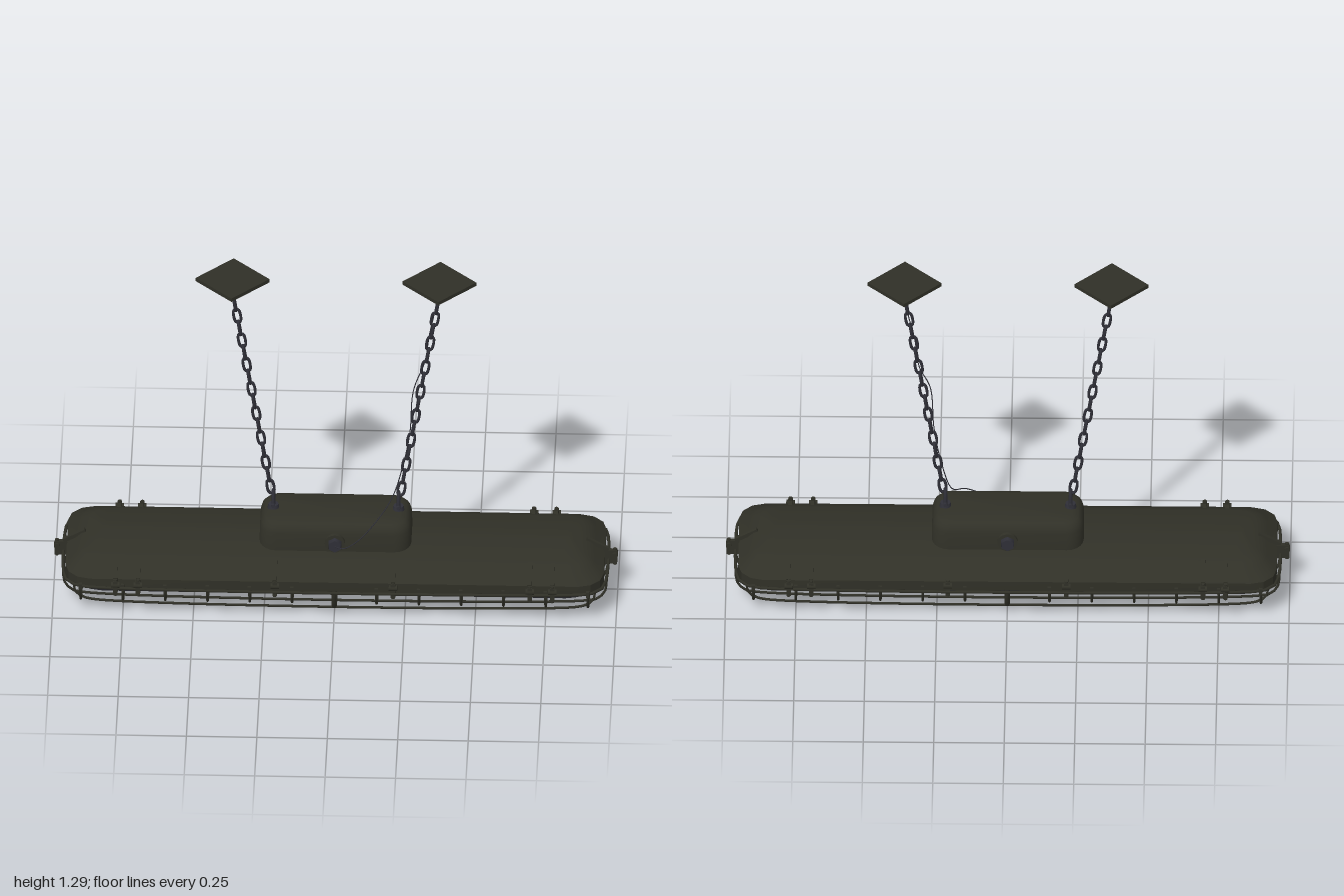
import * as THREE from 'three';
import { toCreasedNormals } from 'three/addons/utils/BufferGeometryUtils.js';

const V = (x, y, z) => new THREE.Vector3(x, y, z);

// Rounded-rectangle loop of [x, z] points
function loop(hx, hz, r, seg) {
  const pts = [];
  const corners = [[1, 1], [-1, 1], [-1, -1], [1, -1]];
  corners.forEach(([sx, sz], k) => {
    for (let i = 0; i <= seg; i++) {
      const a = (k + i / seg) * Math.PI / 2;
      pts.push([sx * (hx - r) + r * Math.cos(a), sz * (hz - r) + r * Math.sin(a)]);
    }
  });
  return pts;
}

// Closed skin through stacked rounded rectangles, rows = [y, halfX, halfZ, radius], bottom to top
function loft(rows, seg, crease) {
  const pos = [], idx = [];
  const n = 4 * (seg + 1);
  rows.forEach(([y, hx, hz, r]) => loop(hx, hz, r, seg).forEach(([x, z]) => pos.push(x, y, z)));
  for (let j = 0; j < rows.length - 1; j++) {
    for (let i = 0; i < n; i++) {
      const a = j * n + i, b = j * n + (i + 1) % n;
      idx.push(a, a + n, b, b, a + n, b + n);
    }
  }
  const last = rows.length - 1, c = rows.length * n;
  pos.push(0, rows[0][0], 0, 0, rows[last][0], 0);
  for (let i = 0; i < n; i++) {
    const k = (i + 1) % n;
    idx.push(c, i, k, c + 1, last * n + k, last * n + i);
  }
  const g = new THREE.BufferGeometry();
  g.setAttribute('position', new THREE.Float32BufferAttribute(pos, 3));
  g.setIndex(idx);
  return toCreasedNormals(g, crease);
}

function tube(pts, r, seg, closed = false, radial = 6) {
  const curve = new THREE.CatmullRomCurve3(pts, closed, 'centripetal');
  return new THREE.TubeGeometry(curve, seg, r, radial, closed);
}

export function createModel() {
  const olive = new THREE.MeshStandardMaterial({ color: 0x303027 });
  olive.name = 'olive painted metal';
  const glass = new THREE.MeshStandardMaterial({ color: 0x3a3a41 });
  glass.name = 'smoked glass';
  const steel = new THREE.MeshStandardMaterial({ color: 0x2f2f37 });
  steel.name = 'dark steel';

  const model = new THREE.Group();
  model.name = 'hangingLamp';
  const add = (name, geo, mat, parent = model, x = 0, y = 0, z = 0) => {
    const m = new THREE.Mesh(geo, mat);
    m.name = name;
    m.position.set(x, y, z);
    parent.add(m);
    return m;
  };

  // Long housing: rim band, sloping shoulder, gently ridged roof
  add('housing', loft([
    [0.118, 0.945, 0.225, 0.09], [0.122, 0.955, 0.235, 0.09], [0.16, 0.955, 0.235, 0.09],
    [0.168, 0.945, 0.226, 0.09], [0.188, 0.92, 0.188, 0.08], [0.204, 0.902, 0.168, 0.07],
    [0.214, 0.875, 0.14, 0.06], [0.228, 0.83, 0.02, 0.015],
  ], 3, 0.5), olive);

  // Glass bowl under the housing
  add('glassBowl', loft([
    [0.038, 0.8, 0.03, 0.02], [0.046, 0.86, 0.11, 0.06], [0.062, 0.9, 0.16, 0.08],
    [0.09, 0.92, 0.2, 0.09], [0.125, 0.925, 0.215, 0.09],
  ], 4, 0.8), glass);

  // Raised junction box on the roof
  add('junctionBox', loft([
    [0.205, 0.27, 0.118, 0.06], [0.285, 0.268, 0.116, 0.06], [0.305, 0.262, 0.11, 0.058],
    [0.319, 0.25, 0.098, 0.05], [0.325, 0.23, 0.08, 0.04],
  ], 5, 0.8), olive);

  // Wire guard: rim, cross ribs, lengthwise wires
  const cage = new THREE.Group();
  cage.name = 'wireGuard';
  model.add(cage);
  const rim = loop(0.962, 0.238, 0.09, 3).map(([x, z]) => V(x, 0.128, z));
  add('guardRim', tube(rim, 0.006, 96, true), olive, cage);

  const half = [[0.232, 0.13], [0.224, 0.09], [0.192, 0.046], [0.1, 0.032]];
  const ribPts = [
    ...half.map(([z, y]) => V(0, y, z)), V(0, 0.029, 0),
    ...half.slice().reverse().map(([z, y]) => V(0, y, -z)),
  ];
  const rib = tube(ribPts, 0.0045, 28);
  for (let i = -6; i <= 6; i++) {
    if (i === 0) continue;
    add('guardRib', rib, olive, cage, i * 0.15);
    for (const s of [-1, 1]) {
      add('guardHook', new THREE.BoxGeometry(0.012, 0.022, 0.012), olive, cage, i * 0.15, 0.13, s * 0.238);
    }
  }
  // Heavier hoop round the middle
  const hoop = [V(0, 0.13, 0.238), V(0, 0.1, 0.232), V(0, 0.04, 0.2), V(0, 0.02, 0.1), V(0, 0.009, 0),
    V(0, 0.02, -0.1), V(0, 0.04, -0.2), V(0, 0.1, -0.232), V(0, 0.13, -0.238)];
  add('middleHoop', tube(hoop, 0.009, 32, false, 8), olive, cage);

  for (const [z, y] of [[0, 0.029], [0.065, 0.03], [0.13, 0.035], [0.192, 0.046]]) {
    const cut = z > 0.18 ? 0.04 : 0;
    const end = [[0.965, 0.13], [0.96, 0.08], [0.935, y + 0.012], [0.89, y]];
    for (const s of z ? [-1, 1] : [1]) {
      const pts = [
        ...end.map(([x, h]) => V(-x + cut, h, s * z)),
        ...end.slice().reverse().map(([x, h]) => V(x - cut, h, s * z)),
      ];
      add('guardWire', tube(pts, 0.0045, 80), olive, cage);
    }
  }

  // Toggle clamps: jaw, pivot and lever, built facing +z
  function clamp(x, z, turn, reach) {
    const g = new THREE.Group();
    g.name = 'clamp';
    add('clampJaw', new THREE.BoxGeometry(0.016, 0.055, reach), olive, g, 0, 0.14, reach / 2);
    const pivot = add('clampPivot', new THREE.CylinderGeometry(0.011, 0.011, 0.03, 10), olive, g, 0, 0.15, reach - 0.008);
    pivot.rotation.z = Math.PI / 2;
    add('clampBolt', new THREE.CylinderGeometry(0.007, 0.007, 0.066, 8), olive, g, 0, 0.14, reach - 0.008);
    const lever = add('clampLever', new THREE.BoxGeometry(0.014, 0.014, 0.09), olive, g, 0, 0.19, -0.025);
    lever.rotation.x = 0.5;
    g.position.set(x, 0, z);
    g.rotation.y = turn;
    model.add(g);
  }
  for (const s of [-1, 1]) {
    for (const x of [0.21, 0.695, 0.775]) {
      const reach = x < 0.5 ? 0.022 : 0.032;
      clamp(x * s, 0.232, 0, reach);
      clamp(x * s, -0.232, Math.PI, reach);
    }
    clamp(s * 0.953, 0, s * Math.PI / 2, 0.045);
  }

  // Cable glands on both long sides of the junction box
  for (const s of [-1, 1]) {
    const gland = new THREE.Group();
    gland.name = 'cableGland';
    gland.position.set(0, 0.255, s * 0.115);
    gland.rotation.x = s * Math.PI / 2;
    model.add(gland);
    add('glandFlange', new THREE.CylinderGeometry(0.036, 0.036, 0.016, 20), olive, gland, 0, 0.006, 0);
    add('glandNut', new THREE.CylinderGeometry(0.024, 0.027, 0.022, 6), steel, gland, 0, 0.021, 0);
  }

  // Chain link outline
  const link = tube([
    V(0.011, -0.017, 0), V(0.011, 0.017, 0), V(0.007, 0.025, 0), V(0, 0.028, 0), V(-0.007, 0.025, 0),
    V(-0.011, 0.017, 0), V(-0.011, -0.017, 0), V(-0.007, -0.025, 0), V(0, -0.028, 0), V(0.007, -0.025, 0),
  ], 0.0055, 24, true);

  for (const s of [-1, 1]) {
    // Eye bolt on the junction box
    add('eyeBoltBase', new THREE.CylinderGeometry(0.018, 0.022, 0.022, 12), steel, model, s * 0.222, 0.328, 0);
    const pin = add('shacklePin', new THREE.CylinderGeometry(0.007, 0.007, 0.07, 8), steel, model, s * 0.222, 0.348, 0);
    pin.rotation.x = Math.PI / 2;
    add('shackle', tube([V(0, 0.335, 0.021), V(0, 0.36, 0.02), V(0, 0.388, 0.012), V(0, 0.397, 0),
      V(0, 0.388, -0.012), V(0, 0.36, -0.02), V(0, 0.335, -0.021)], 0.006, 20), steel, model, s * 0.222);

    // Chain
    const a = V(s * 0.228, 0.385, 0), b = V(s * 0.372, 1.26, 0), n = 17;
    const chain = new THREE.Group();
    chain.name = 'chain';
    chain.position.copy(a);
    chain.quaternion.setFromUnitVectors(V(0, 1, 0), b.clone().sub(a).normalize());
    const step = a.distanceTo(b) / n;
    for (let i = 0; i < n; i++) {
      add('chainLink', link, steel, chain, 0, (i + 0.5) * step, 0).rotation.y = i % 2 ? Math.PI / 2 : 0;
    }
    model.add(chain);

    // Ceiling plate, turned to a diamond, with its boss and hook
    const plate = add('ceilingPlate', new THREE.BoxGeometry(0.185, 0.014, 0.185), olive, model, s * 0.367, 1.282, 0);
    plate.rotation.y = Math.PI / 4;
    add('plateBoss', new THREE.CylinderGeometry(0.067, 0.067, 0.014, 24), olive, model, s * 0.367, 1.269, 0);
    add('plateHook', new THREE.TorusGeometry(0.015, 0.005, 6, 16), steel, model, s * 0.371, 1.252, 0);
  }

  // Thin supply cable following the left chain down to the front gland
  add('supplyCable', tube([
    V(0.36, 1.262, -0.01), V(0.355, 1.18, -0.026), V(0.33, 1.05, -0.012), V(0.315, 0.94, -0.018),
    V(0.275, 0.83, 0.004), V(0.262, 0.65, 0.008), V(0.235, 0.5, 0.006), V(0.2, 0.385, 0.02),
    V(0.15, 0.335, 0.09), V(0.08, 0.275, 0.14), V(0.03, 0.256, 0.16), V(0, 0.255, 0.145),
  ], 0.002, 90, false, 5), steel);

  return model;
}
